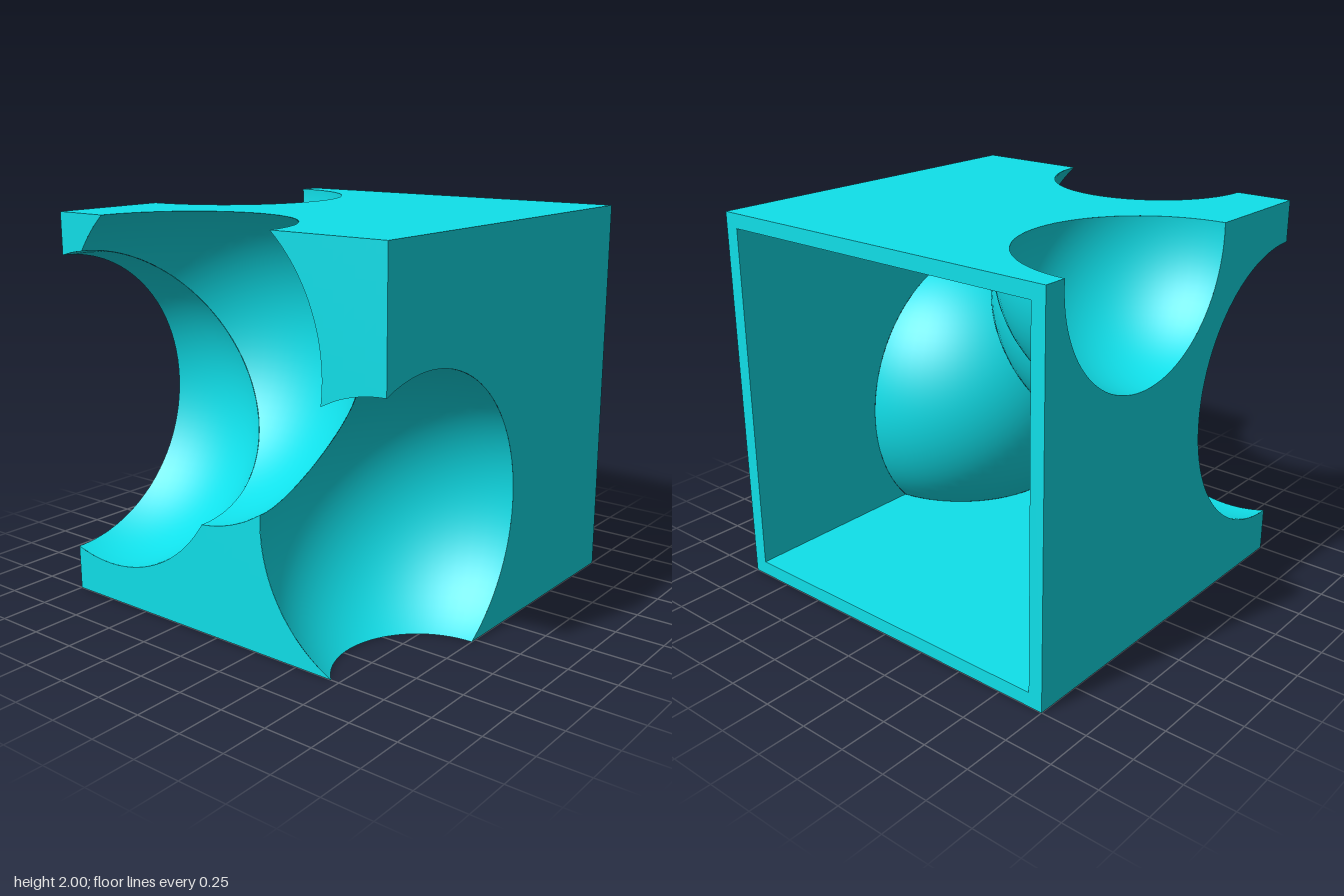
import * as THREE from 'three';

const WALL = 0.075;
const GRID = 36;

// Spherical scoops taken out of the cube
const scoops = [
  { name: 'frontScoop', c: new THREE.Vector3(-0.7, 0.645, 1), r: 0.77 },
  { name: 'topBackScoop', c: new THREE.Vector3(0.26, 1.96, -1), r: 0.62 },
  { name: 'rightUpperScoop', c: new THREE.Vector3(-1, 1.38, -0.16), r: 0.82 },
  { name: 'rightBackScoop', c: new THREE.Vector3(-1, 1.01, -0.76), r: 0.81 },
];

// Point on edge a-b where the field changes sign
function crossing(a, b, field) {
  let lo = 0, hi = 1;
  const p = new THREE.Vector3(), startsInside = field(a) >= 0;
  for (let i = 0; i < 24; i++) {
    const mid = (lo + hi) / 2;
    if ((field(p.lerpVectors(a, b, mid)) >= 0) === startsInside) lo = mid;
    else hi = mid;
  }
  return new THREE.Vector3().lerpVectors(a, b, lo);
}

// Keeps the part of a polygon where the field is positive
function clipPolygon(poly, field) {
  const out = [];
  poly.forEach((a, i) => {
    const b = poly[(i + 1) % poly.length];
    const inA = field(a) >= 0, inB = field(b) >= 0;
    if (inA) out.push(a);
    if (inA !== inB) out.push(crossing(a, b, field));
  });
  return out;
}

// Trims a geometry by a list of fields, optionally turning it inside out
function trim(source, fields, flip, skip = () => false) {
  const pos = source.toNonIndexed().attributes.position;
  const data = [];
  for (let i = 0; i < pos.count; i += 3) {
    let poly = [0, 1, 2].map((k) => new THREE.Vector3().fromBufferAttribute(pos, i + k));
    if (skip(poly)) continue;
    for (const field of fields) {
      if (poly.length) poly = clipPolygon(poly, field);
    }
    if (flip) poly.reverse();
    for (let k = 1; k + 1 < poly.length; k++) {
      const tri = new THREE.Triangle(poly[0], poly[k], poly[k + 1]);
      if (tri.getArea() < 1e-9) continue;
      for (const p of [tri.a, tri.b, tri.c]) data.push(p.x, p.y, p.z);
    }
  }
  const geometry = new THREE.BufferGeometry();
  geometry.setAttribute('position', new THREE.Float32BufferAttribute(data, 3));
  geometry.computeVertexNormals();
  return geometry;
}

// Smooth normals pointing from (or toward) a sphere centre
function roundNormals(geometry, centre, flip) {
  const pos = geometry.attributes.position, nor = geometry.attributes.normal;
  const v = new THREE.Vector3();
  for (let i = 0; i < pos.count; i++) {
    v.fromBufferAttribute(pos, i).sub(centre).normalize().multiplyScalar(flip ? -1 : 1);
    nor.setXYZ(i, v.x, v.y, v.z);
  }
  return geometry;
}

// One skin of the shell: box walls and the scoops that bite into them
function buildSkin(name, box, grow, isInner, material) {
  const group = new THREE.Group();
  group.name = name;
  const size = box.getSize(new THREE.Vector3());
  const centre = box.getCenter(new THREE.Vector3());
  const outside = (s) => (p) => p.distanceTo(s.c) - (s.r + grow);

  const walls = new THREE.BoxGeometry(size.x, size.y, size.z, GRID, GRID, GRID)
    .translate(centre.x, centre.y, centre.z);
  const onOpenSide = (poly) => poly.every((p) => p.x > box.max.x - 1e-4);
  const wallMesh = new THREE.Mesh(trim(walls, scoops.map(outside), isInner, onOpenSide), material);
  wallMesh.name = name + 'Walls';
  group.add(wallMesh);

  const insideBox = ['x', 'y', 'z'].flatMap((k) => [
    (p) => p[k] - box.min[k],
    (p) => box.max[k] - p[k],
  ]);
  for (const s of scoops) {
    const ball = new THREE.SphereGeometry(s.r + grow, 72, 48).translate(s.c.x, s.c.y, s.c.z);
    const fields = [...insideBox, ...scoops.filter((o) => o !== s).map(outside)];
    const patch = roundNormals(trim(ball, fields, !isInner), s.c, !isInner);
    const mesh = new THREE.Mesh(patch, material);
    mesh.name = s.name + (isInner ? 'Dome' : 'Hollow');
    group.add(mesh);
  }
  return group;
}

function square(path, h) {
  path.moveTo(-h, -h);
  path.lineTo(h, -h);
  path.lineTo(h, h);
  path.lineTo(-h, h);
  path.closePath();
  return path;
}

export function createModel() {
  const model = new THREE.Group();
  model.name = 'scoopedHollowCube';
  const material = new THREE.MeshStandardMaterial({ color: 0x10e0ea });

  const outer = new THREE.Box3(new THREE.Vector3(-1, 0, -1), new THREE.Vector3(1, 2, 1));
  const inner = new THREE.Box3(
    new THREE.Vector3(-1 + WALL, WALL, -1 + WALL),
    new THREE.Vector3(1, 2 - WALL, 1 - WALL)
  );
  model.add(buildSkin('outer', outer, 0, false, material));
  model.add(buildSkin('inner', inner, WALL, true, material));

  // Flat rim around the open side
  const frame = square(new THREE.Shape(), 1);
  frame.holes.push(square(new THREE.Path(), 1 - WALL));
  const rim = new THREE.Mesh(new THREE.ShapeGeometry(frame), material);
  rim.name = 'openingRim';
  rim.rotation.y = Math.PI / 2;
  rim.position.set(1, 1, 0);
  model.add(rim);

  return model;
}
